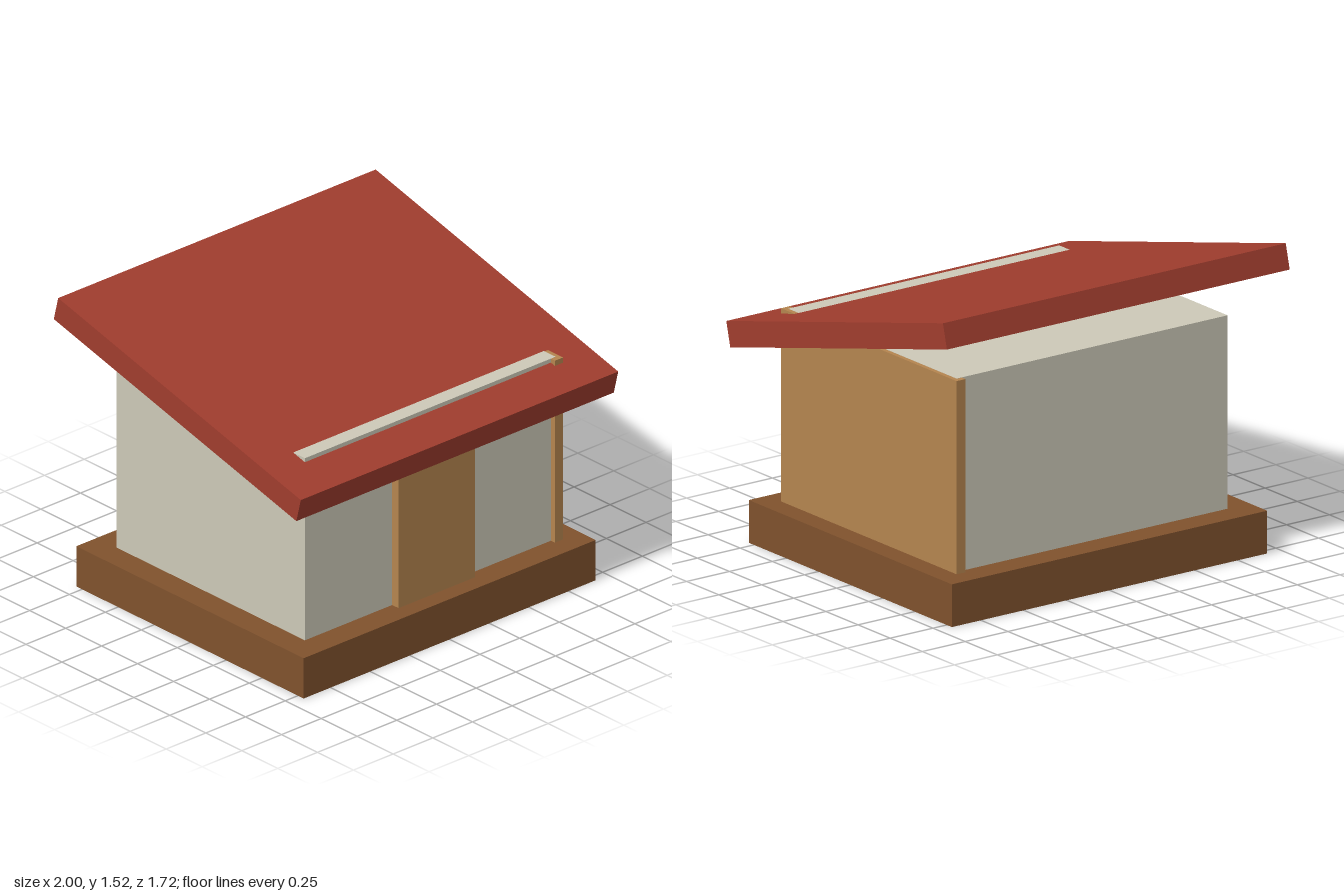
import * as THREE from 'three';

const material = (name, color) => {
  const m = new THREE.MeshStandardMaterial({ color });
  m.name = name;
  return m;
};

export function createModel() {
  const group = new THREE.Group();
  const darkWood = material('dark wood', 0x80522d);
  const lightWood = material('light wood', 0xb5854f);
  const plaster = material('pale plaster', 0xcdc9b8);
  const roofRed = material('roof red', 0xa03d2e);

  // Box given by its lower and upper corners
  const box = (name, mat, [x0, y0, z0], [x1, y1, z1]) => {
    const mesh = new THREE.Mesh(new THREE.BoxGeometry(x1 - x0, y1 - y0, z1 - z0), mat);
    mesh.position.set((x0 + x1) / 2, (y0 + y1) / 2, (z0 + z1) / 2);
    mesh.name = name;
    group.add(mesh);
    return mesh;
  };

  // Plinth and walls
  box('base', darkWood, [-0.92, 0, -0.79], [0.92, 0.21, 0.79]);
  box('walls', plaster, [-0.79, 0.21, -0.655], [0.79, 1.16, 0.655]);

  // Wooden cladding on the left side and the front door panel
  box('sidePanel', lightWood, [0.76, 0.21, -0.683], [0.812, 1.159, 0.683]);
  box('door', lightWood, [-0.24, 0.21, 0.6], [0.24, 1.06, 0.7]);

  // Single-pitch roof sloping down to the front; the wall tops break through it
  const roof = box('roof', roofRed, [-1, -0.0625, -0.87], [1, 0.0625, 0.87]);
  roof.position.set(0, 1.242, 0);
  roof.rotation.x = 0.25;

  return group;
}
